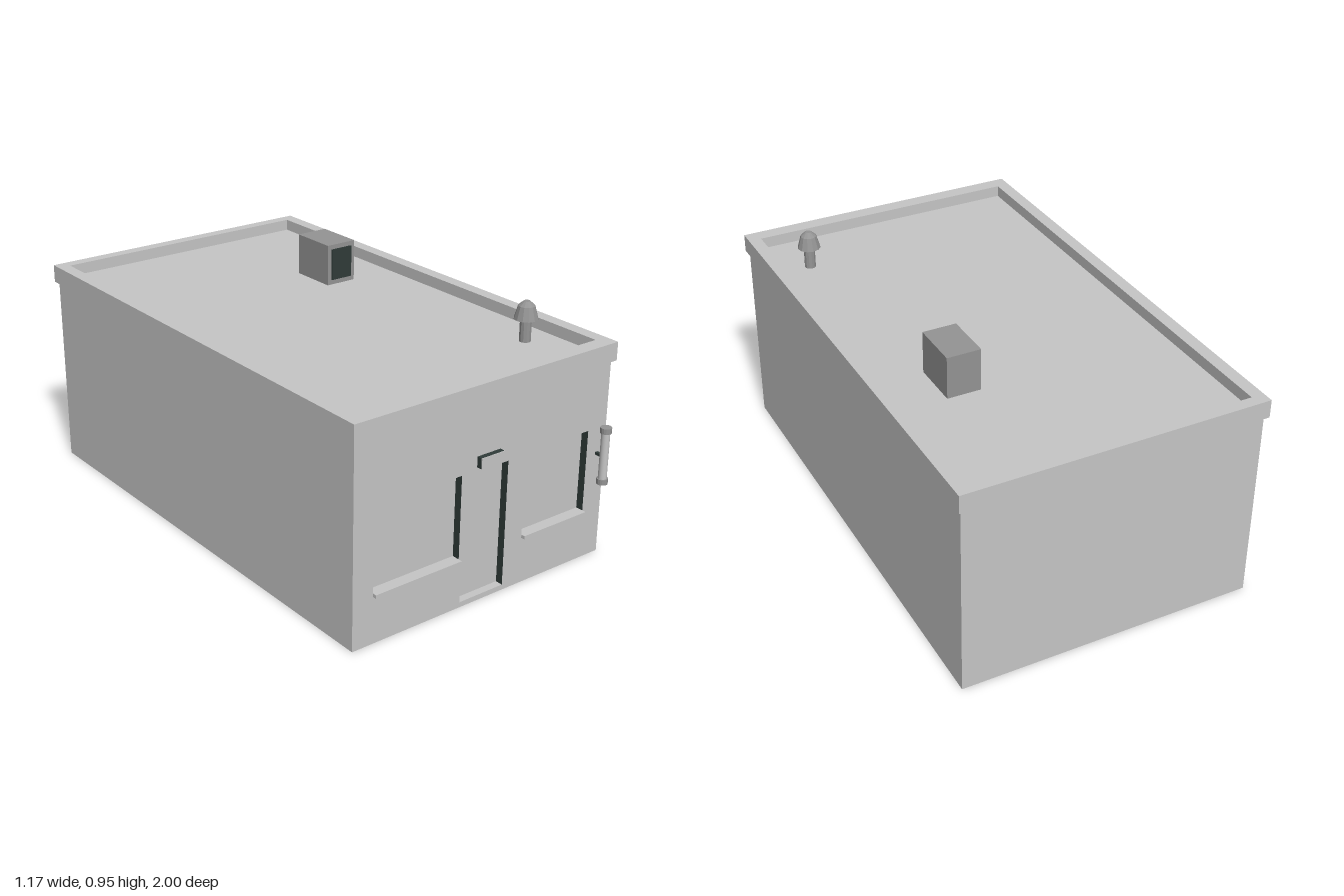
import * as THREE from 'three';

const material = (name, color, side = THREE.FrontSide) => {
  const m = new THREE.MeshStandardMaterial({ color, side });
  m.name = name;
  return m;
};

export function createModel() {
  const wall = material('wall grey', 0xc6c6c6, THREE.DoubleSide);
  const metal = material('metal grey', 0x949494);
  metal.flatShading = true;
  const dark = material('dark green grey', 0x303b39, THREE.DoubleSide);

  const building = new THREE.Group();
  building.name = 'building';

  const add = (name, geometry, mat, x = 0, y = 0, z = 0, parent = building) => {
    const mesh = new THREE.Mesh(geometry, mat);
    mesh.name = name;
    mesh.position.set(x, y, z);
    parent.add(mesh);
    return mesh;
  };
  // Box given by its limits on each axis
  const box = (name, mat, [x0, x1], [y0, y1], [z0, z1], parent) =>
    add(name, new THREE.BoxGeometry(x1 - x0, y1 - y0, z1 - z0), mat,
      (x0 + x1) / 2, (y0 + y1) / 2, (z0 + z1) / 2, parent);
  // Clockwise or counter-clockwise rectangle outline
  const rect = (Type, x0, x1, y0, y1) => {
    const p = new Type();
    p.moveTo(x0, y0).lineTo(x1, y0).lineTo(x1, y1).lineTo(x0, y1).closePath();
    return p;
  };

  const W = 0.575, H = 0.765, FRONT = 0.94, BACK = -0.985, ROOF = 0.785;
  const depth = FRONT - BACK, midZ = (FRONT + BACK) / 2;

  // Front wall with openings
  const openings = [
    { name: 'leftWindow', x: [0.18, 0.485], y: [0.18, 0.51], sill: true },
    { name: 'rightWindow', x: [-0.49, -0.115], y: [0.18, 0.51], sill: true },
    { name: 'door', x: [-0.104, 0.097], y: [0.02, 0.505], sill: false },
  ];
  const front = rect(THREE.Shape, -W, W, 0, H);
  openings.forEach(o => front.holes.push(rect(THREE.Path, ...o.x, ...o.y)));
  add('frontWall', new THREE.ShapeGeometry(front), wall, 0, 0, FRONT);

  // Plain walls, open underneath
  add('backWall', new THREE.PlaneGeometry(2 * W, H), wall, 0, H / 2, BACK).rotation.y = Math.PI;
  for (const s of [-1, 1]) {
    add(s > 0 ? 'leftWall' : 'rightWall', new THREE.PlaneGeometry(depth, H), wall,
      s * W, H / 2, midZ).rotation.y = s * Math.PI / 2;
  }

  // Recessed windows and door with dark reveals
  const recess = 0.03;
  for (const o of openings) {
    const g = new THREE.Group();
    g.name = o.name;
    building.add(g);
    const [x0, x1] = o.x, [y0, y1] = o.y;
    const w = x1 - x0, h = y1 - y0, cx = (x0 + x1) / 2, cy = (y0 + y1) / 2;
    const cz = FRONT - recess / 2;
    add('panel', new THREE.PlaneGeometry(w, h), wall, cx, cy, FRONT - recess, g);
    for (const x of o.x) {
      add('jamb', new THREE.PlaneGeometry(recess, h), dark, x, cy, cz, g)
        .rotation.y = x < cx ? Math.PI / 2 : -Math.PI / 2;
    }
    add('lintel', new THREE.PlaneGeometry(w, recess), dark, cx, y1, cz, g).rotation.x = Math.PI / 2;
    if (o.sill) box('sill', wall, [x0, x1], [y0, y0 + 0.013], [FRONT - recess, 0.956], g);
    else add('threshold', new THREE.PlaneGeometry(w, recess), wall, cx, y0, cz, g).rotation.x = -Math.PI / 2;
  }

  // Roof deck and parapet ring
  add('roof', new THREE.PlaneGeometry(1.08, 1.86), wall, 0, ROOF, -0.03).rotation.x = -Math.PI / 2;
  const ring = rect(THREE.Shape, -0.587, 0.587, -0.955, 1);
  ring.holes.push(rect(THREE.Path, -0.537, 0.537, -0.895, 0.955));
  add('parapet', new THREE.ExtrudeGeometry(ring, { depth: 0.07, bevelEnabled: false }), wall, 0, 0.76, 0)
    .rotation.x = -Math.PI / 2;

  // Box light above the door
  box('doorLight', dark, [-0.048, 0.056], [0.522, 0.562], [FRONT, 0.96]);
  box('doorLightFace', wall, [-0.048, 0.056], [0.522, 0.562], [0.96, 0.963]);

  // Tube lamp on the front wall
  const lamp = new THREE.Group();
  lamp.name = 'wallLamp';
  lamp.position.set(0.535, 0, 0.978);
  building.add(lamp);
  add('tube', new THREE.CylinderGeometry(0.016, 0.016, 0.19, 16), wall, 0, 0.415, 0, lamp);
  for (const y of [0.314, 0.514]) {
    add('cap', new THREE.CylinderGeometry(0.021, 0.021, 0.021, 16), metal, 0, y, 0, lamp);
  }
  box('bracket', dark, [-0.006, 0.006], [0.405, 0.415], [-0.038, -0.01], lamp);

  // Rooftop air unit
  box('airUnit', metal, [0.222, 0.352], [ROOF, 0.948], [-0.435, -0.242]);
  box('airUnitGrille', dark, [0.24, 0.334], [0.805, 0.93], [-0.242, -0.236]);

  // Roof vent: pipe and hood
  const profile = [[0, 0.785], [0.022, 0.785], [0.022, 0.87], [0.045, 0.87], [0.031, 0.92], [0.012, 0.937], [0, 0.937]];
  add('roofVent', new THREE.LatheGeometry(profile.map(p => new THREE.Vector2(...p)), 12), metal, 0.417, 0, 0.668);

  return building;
}
